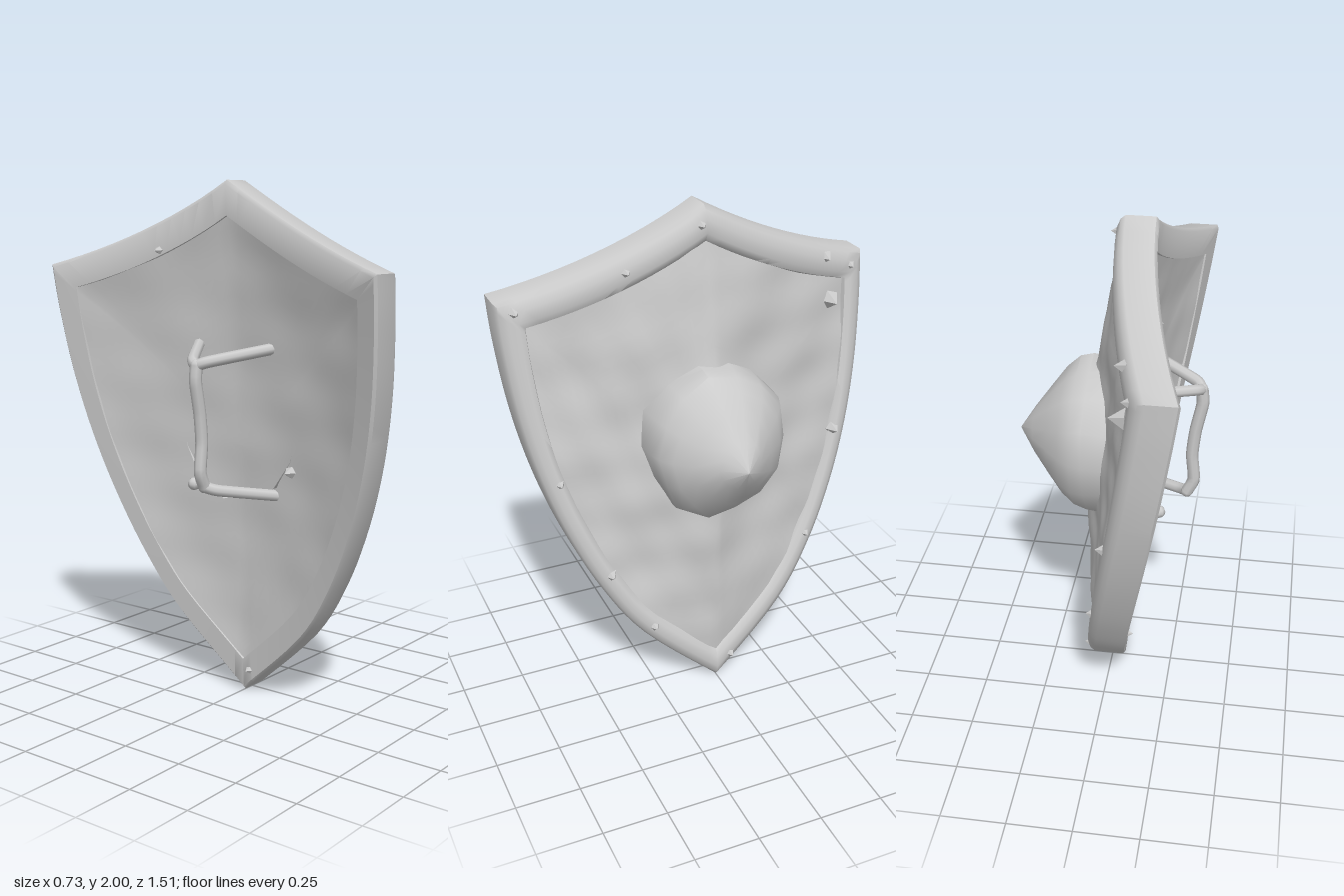
import * as THREE from 'three';
import { toCreasedNormals } from 'three/addons/utils/BufferGeometryUtils.js';

const material = new THREE.MeshStandardMaterial({ color: 0xcccccc, side: THREE.DoubleSide });
const V = (x, y, z) => new THREE.Vector3(x, y, z);

// Back surface of the shield: leaning, and swept back more strongly towards the top
const backX = (y, z) => -0.055 - 0.056 * y - (0.1 + 0.108 * y) * Math.pow(Math.abs(z), 1.55);

// Hammered unevenness
const dents = (y, z) =>
  0.008 * Math.sin(11 * y + 4 * z) * Math.sin(13 * z + 1) + 0.005 * Math.sin(23 * y - 17 * z) * Math.cos(19 * z + 7 * y);

// Heater shield outline, x = z-coordinate and y = height, from the top point round
function outline() {
  const P = (x, y) => new THREE.Vector2(x, y);
  const top = new THREE.QuadraticBezierCurve(P(0, 2), P(0.36, 1.79), P(0.755, 1.68)).getPoints(12);
  const side = new THREE.SplineCurve([
    P(0.755, 1.68), P(0.745, 1.5), P(0.715, 1.25), P(0.66, 1.0), P(0.575, 0.75),
    P(0.455, 0.5), P(0.295, 0.27), P(0, 0),
  ]).getPoints(35);
  const half = [...top, ...side.slice(1)];
  const mirrored = half.slice(1, -1).reverse().map((p) => P(-p.x, p.y));
  return [...half, ...mirrored];
}

// Skins consecutive closed rings of points
function loft(rings, crease) {
  const n = rings[0].length, pos = [];
  for (let i = 0; i + 1 < rings.length; i++) {
    for (let j = 0; j < n; j++) {
      const k = (j + 1) % n;
      const [a, b, c, d] = [rings[i][j], rings[i][k], rings[i + 1][k], rings[i + 1][j]];
      for (const p of [a, b, c, a, c, d]) pos.push(p.x, p.y, p.z);
    }
  }
  const g = new THREE.BufferGeometry();
  g.setAttribute('position', new THREE.Float32BufferAttribute(pos, 3));
  return toCreasedNormals(g, crease);
}

export function createModel() {
  const group = new THREE.Group();
  const add = (name, geometry, parent = group) => {
    const mesh = new THREE.Mesh(geometry, material);
    mesh.name = name;
    parent.add(mesh);
    return mesh;
  };

  const edge = outline();
  // Outline scaled about the middle; depth is measured from the back surface
  const ring = (t, depth) => edge.map((p) => {
    const y = 1 + (p.y - 1) * t, z = p.x * t;
    return V(backX(y, z) + depth(y, z), y, z);
  });

  // Rim: bevelled band from the inner back edge round to the inner front edge
  const band = [[0.865, 0.03], [0.87, 0], [0.985, 0], [1, 0.012], [1, 0.12], [0.985, 0.138],
    [0.95, 0.15], [0.9, 0.15], [0.87, 0.135], [0.855, 0.1]];
  add('rim', loft(band.map(([t, d]) => ring(t, () => d)), 0.8));

  // Front panel with a central ridge that swells around the boss
  const frontDepth = (y, z) => {
    const fade = Math.min(1, Math.max(0, (1.9 - y) / 0.3)) * Math.min(1, Math.max(0, (y - 0.1) / 0.3));
    const swell = 0.05 + 0.045 * Math.exp(-Math.pow((y - 1.1) / 0.4, 2));
    return 0.122 + swell * Math.exp(-Math.pow(Math.abs(z) / 0.19, 1.2)) * fade + dents(y, z);
  };
  const steps = Array.from({ length: 19 }, (_, i) => 0.001 + (0.875 - 0.001) * (i / 18));
  add('frontPanel', loft([...steps].reverse().map((t) => ring(t, frontDepth)), 1));
  // Back panel, slightly hollowed towards the middle
  add('backPanel', loft(steps.map((t) => ring(t, (y, z) => 0.006 + 0.03 * (1 - (t / 0.875) ** 4) + 0.4 * dents(y, z))), 0.8));

  // Pointed boss, beaten out of round
  const profile = [[0.3, -0.1], [0.295, 0.0], [0.29, 0.08], [0.275, 0.13], [0.235, 0.18],
    [0.17, 0.235], [0.09, 0.3], [0.001, 0.36]];
  const boss = new THREE.LatheGeometry(profile.map(([r, h]) => new THREE.Vector2(r, h)), 14);
  boss.rotateZ(-Math.PI / 2);
  const bp = boss.attributes.position;
  for (let i = 0; i < bp.count; i++) {
    const x = bp.getX(i), y = bp.getY(i), z = bp.getZ(i);
    const a = Math.atan2(y, z), r = Math.hypot(y, z);
    const k = r < 0.01 ? 1 : 1 + 0.03 * Math.sin(5 * a + 9 * x) + 0.02 * Math.sin(3 * a - 14 * x);
    // slightly taller than wide
    bp.setXYZ(i, x, y * k * 1.07, z * k * 0.94);
  }
  boss.translate(0, 1.105, 0);
  add('boss', toCreasedNormals(boss, 0.7));

  // Handle: bent grip, two upper legs, one lower leg and a broken stub
  const handle = new THREE.Group();
  handle.name = 'handle';
  group.add(handle);
  const bar = (name, pts, r = 0.022) => {
    const curve = new THREE.CatmullRomCurve3(pts.map((p) => V(...p)), false, 'catmullrom', 0.3);
    add(name, new THREE.TubeGeometry(curve, 24, r, 8), handle);
    for (const p of [pts[0], pts[pts.length - 1]]) {
      add(name + 'End', new THREE.SphereGeometry(r, 8, 6), handle).position.set(...p);
    }
  };
  bar('grip', [[-0.338, 1.33, 0], [-0.343, 1.27, 0], [-0.32, 1.15, 0], [-0.31, 1.04, 0], [-0.32, 0.93, 0], [-0.295, 0.87, 0]], 0.024);
  for (const s of [-1, 1]) bar('upperLeg', [[-0.338, 1.33, 0], [-0.31, 1.345, s * 0.04], [-0.1, 1.385, s * 0.18]]);
  bar('lowerLeg', [[-0.295, 0.87, 0], [-0.26, 0.855, 0.04], [-0.07, 0.82, 0.17]]);
  bar('brokenStub', [[-0.2, 0.85, -0.13], [-0.08, 0.83, -0.18]], 0.025);

  // Small studs: [z, y, radius] on the front, then on the back
  const stud = (x, y, z, r, dir) => {
    const g = new THREE.ConeGeometry(r, r * 1.5, 5);
    g.rotateZ(-dir * Math.PI / 2);
    add('stud', toCreasedNormals(g, 0.3)).position.set(x, y, z);
  };
  for (const [z, y, r] of [[0.02, 1.93, 0.024], [0.3, 1.78, 0.024], [0.69, 1.65, 0.024], [-0.55, 1.7, 0.03],
    [-0.68, 1.64, 0.024], [-0.58, 1.52, 0.04], [-0.585, 0.98, 0.03], [0.59, 0.98, 0.02],
    [0.425, 0.57, 0.027], [0.265, 0.31, 0.027], [-0.43, 0.56, 0.022], [-0.06, 0.1, 0.024]]) {
    stud(backX(y, z) + 0.155, y, z, r, 1);
  }
  for (const [z, y] of [[0.03, 0.09], [0.27, 0.93], [-0.3, 1.74]]) stud(backX(y, z) - 0.005, y, z, 0.024, -1);

  return group;
}
